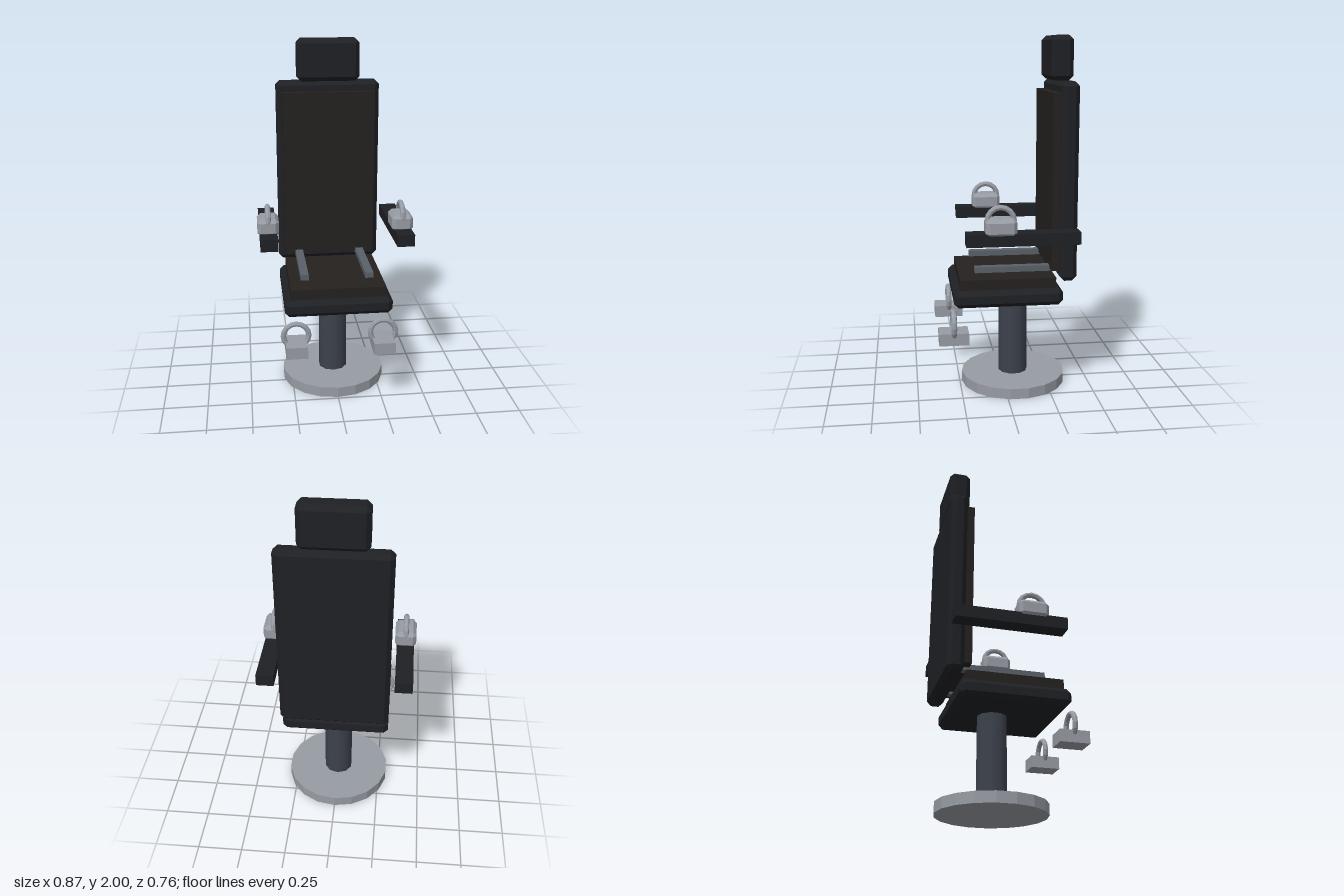
import * as THREE from 'three';
import { ConvexGeometry } from 'three/addons/geometries/ConvexGeometry.js';

const paint = (color) => new THREE.MeshStandardMaterial({ color, flatShading: true });

// Box with flat chamfers on every edge, as the hull of its 24 corner points
function chamferBox(w, h, d, b) {
  const points = [];
  for (const sx of [-1, 1]) for (const sy of [-1, 1]) for (const sz of [-1, 1]) {
    for (let axis = 0; axis < 3; axis++) {
      const inset = [0, 1, 2].map((i) => (i === axis ? 0 : b));
      points.push(new THREE.Vector3(
        sx * (w / 2 - inset[0]), sy * (h / 2 - inset[1]), sz * (d / 2 - inset[2])));
    }
  }
  return new ConvexGeometry(points);
}

export function createModel() {
  const model = new THREE.Group();
  model.name = 'restraintChair';

  const frame = paint(0x1f2024);
  const cushion = paint(0x24211f);
  const metal = paint(0x979ba3);
  const strap = paint(0x5a6068);
  const post = new THREE.MeshStandardMaterial({ color: 0x3d424c });

  function add(name, geometry, material, x, y, z, parent = model) {
    const mesh = new THREE.Mesh(geometry, material);
    mesh.name = name;
    mesh.position.set(x, y, z);
    parent.add(mesh);
    return mesh;
  }

  // Add a part from its limits [min, max] on each axis; a chamfer is optional
  function block(name, material, [x0, x1], [y0, y1], [z0, z1], bevel = 0, parent = model) {
    const size = [x1 - x0, y1 - y0, z1 - z0];
    const geometry = bevel ? chamferBox(...size, bevel) : new THREE.BoxGeometry(...size);
    return add(name, geometry, material, (x0 + x1) / 2, (y0 + y1) / 2, (z0 + z1) / 2, parent);
  }

  // Pedestal
  add('baseDisc', new THREE.CylinderGeometry(0.302, 0.302, 0.06, 18), metal, 0, 0.03, -0.065);
  add('post', new THREE.CylinderGeometry(0.084, 0.084, 0.5, 10), post, 0, 0.3, -0.065);

  // Seat, back and headrest
  block('seatFrame', frame, [-0.302, 0.302], [0.54, 0.635], [-0.308, 0.296], 0.025);
  block('seatCushion', cushion, [-0.267, 0.267], [0.62, 0.692], [-0.27, 0.26]);
  block('backFrame', frame, [-0.302, 0.302], [0.675, 1.76], [-0.38, -0.287], 0.025);
  block('backCushion', cushion, [-0.267, 0.267], [0.73, 1.7], [-0.3, -0.243]);
  block('headrest', frame, [-0.181, 0.181], [1.76, 2.0], [-0.37, -0.25], 0.025);

  // Ring shared by all four cuffs
  const ring = new THREE.TorusGeometry(0.071, 0.015, 8, 16);

  for (const side of [1, -1]) {
    const prefix = side > 0 ? 'left' : 'right';
    const span = (inner, outer) => (side > 0 ? [inner, outer] : [-outer, -inner]);

    // Armrest and the strap rail above the seat
    block(prefix + 'Armrest', frame, span(0.328, 0.425), [0.915, 0.982], [-0.37, 0.237]);
    block(prefix + 'SeatRail', strap, span(0.16, 0.206), [0.715, 0.747], [-0.285, 0.175]);

    // Wrist cuff: chamfered block with a ring running front to back
    const wrist = new THREE.Group();
    wrist.name = prefix + 'WristCuff';
    model.add(wrist);
    block('wristBlock', metal, span(0.317, 0.437), [0.965, 1.062], [-0.031, 0.136], 0.02, wrist);
    add('wristRing', ring, metal, side * 0.377, 1.045, 0.053, wrist).rotation.y = Math.PI / 2;

    // Ankle cuff: plain block with a ring running side to side
    const ankle = new THREE.Group();
    ankle.name = prefix + 'AnkleCuff';
    model.add(ankle);
    block('ankleBlock', metal, span(0.184, 0.304), [0.335, 0.403], [0.217, 0.381], 0, ankle);
    add('ankleRing', ring, metal, side * 0.244, 0.438, 0.298, ankle);
  }

  return model;
}
